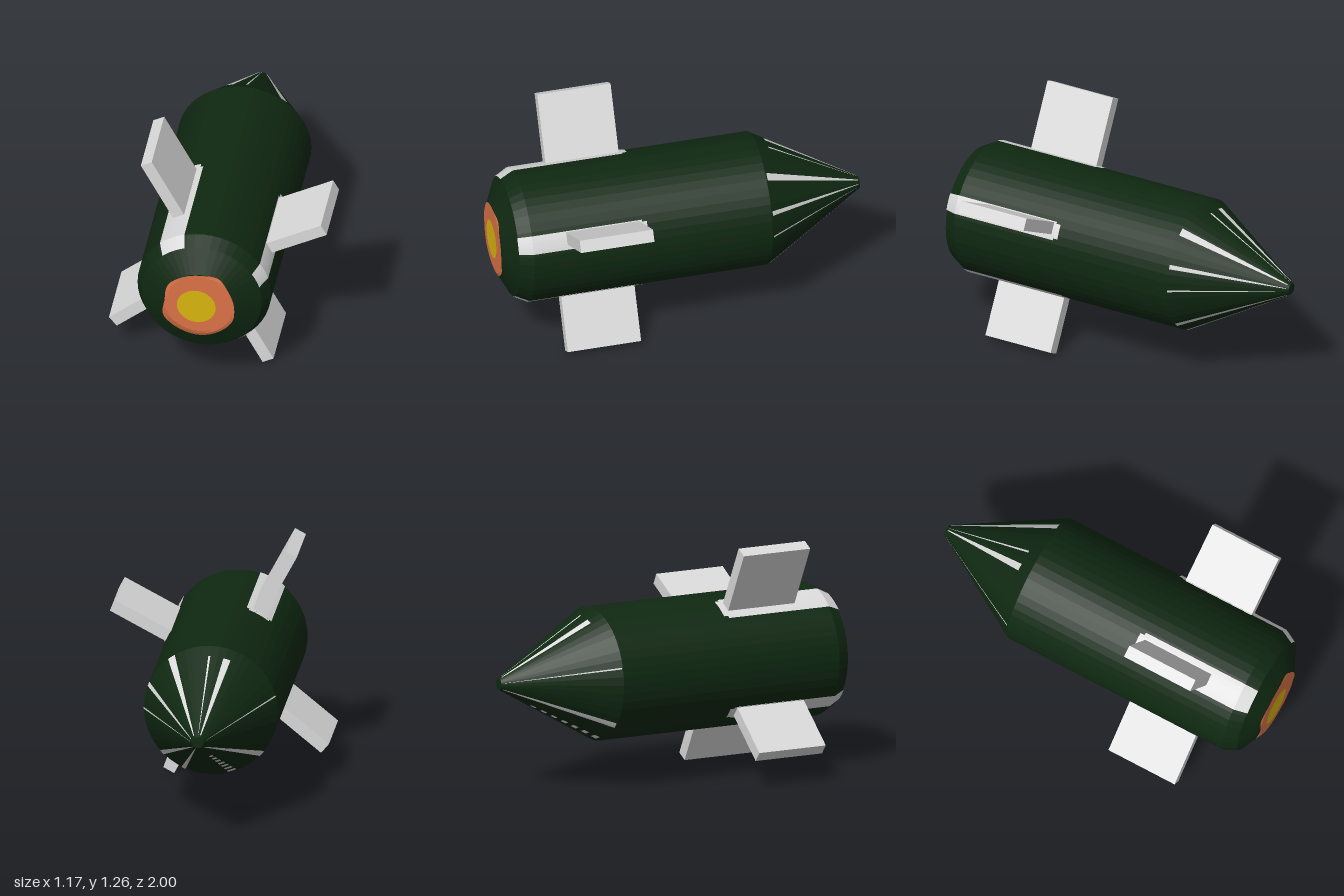
import * as THREE from 'three';

const mat = (name, color) => {
  const m = new THREE.MeshStandardMaterial({ color });
  m.name = name;
  return m;
};
const rad = THREE.MathUtils.degToRad;

// Hull outline as [radius, z], from the nose tip to the tail
const NOSE = [[0.03, -1], [0.357, -0.44]];
const TAIL = [[0.357, 0.86], [0.32, 0.93], [0.19, 0.995]];

function flat(geometry) {
  const g = geometry.toNonIndexed();
  g.computeVertexNormals();
  return g;
}

// Revolve [radius, z] points around z; start and sweep in degrees from +x
function revolve(points, segments, start = 0, sweep = 360) {
  const g = new THREE.LatheGeometry(
    points.map(([r, z]) => new THREE.Vector2(r, z)), segments, rad(start + 90), rad(sweep));
  return flat(g.rotateX(Math.PI / 2));
}

export function createModel() {
  const green = mat('dark green', 0x0f2811);
  const grey = mat('light grey', 0xdadada);
  const orange = mat('exhaust orange', 0xdc7347);
  const yellow = mat('exhaust yellow', 0xd9b610);

  const model = new THREE.Group();
  model.name = 'rocket';
  const rocket = new THREE.Group();
  rocket.name = 'rocketBody';
  rocket.position.set(-0.043, 0.603, 0);
  model.add(rocket);

  const add = (name, geometry, material) => {
    const mesh = new THREE.Mesh(geometry, material);
    mesh.name = name;
    rocket.add(mesh);
    return mesh;
  };

  // Hull with pointed nose and rounded tail
  add('hull', revolve([[0, -1], ...NOSE, ...TAIL, [0, 0.995]], 48), green);

  // Fins, each with a painted root strip: fin angle, tip distance, strip angle, strip half-width
  const fins = [
    [117.9, 0.73, 119, 12],
    [27.9, 0.69, 26, 8],
    [219.4, 0.674, 220.5, 7],
    [-61.8, 0.66, -58, 12.5],
  ];
  const root = 0.3;
  for (const [angle, tip, stripAngle, half] of fins) {
    const fin = add('fin', new THREE.BoxGeometry(tip - root, 0.066, 0.4), grey);
    const a = rad(angle), mid = (tip + root) / 2;
    fin.position.set(Math.cos(a) * mid, Math.sin(a) * mid, 0.475);
    fin.rotation.z = a;
    add('finRootStrip',
      revolve([[0.361, 0.26], [0.361, 0.862], [0.323, 0.933]], 6, stripAngle - half, 2 * half), grey);
    add('finRootStripEnd',
      revolve([[0.361, 0.235], [0.361, 0.26]], 4, stripAngle - half * 0.8, 1.6 * half), grey);
  }

  // Point on the nose cone, t = 0 at the tip and 1 at the shoulder
  const conePoint = (t) => [0.034 + 0.327 * t, -1 + 0.56 * t];

  // Tapering nose streaks: angle, half-width in degrees
  const streaks = [
    [54, 3.5], [90, 1], [107, 3.5], [22, 2], [0, 0.8],
    [-43, 2.5], [-66, 2], [-140, 3], [165, 0.7],
  ];
  for (const [angle, half] of streaks) {
    add('noseStreak', revolve([conePoint(0.02), conePoint(angle > 80 && angle < 120 ? 0.88 : 0.99)],
      2, angle - half, 2 * half), grey);
  }

  // Broken streak under the nose
  for (let i = 0; i < 7; i++) {
    const t = 0.3 + i * 0.1;
    add('noseDash', revolve([conePoint(t), conePoint(t + 0.05)], 2, -114, 8), grey);
  }

  // Irregular exhaust glow that wraps onto the tail chamfer
  const edge = [0.183, 0.18, 0.2, 0.187, 0.19, 0.2, 0.19, 0.23, 0.222, 0.218, 0.205, 0.2];
  const outline = new THREE.CatmullRomCurve3(edge.map((r, i) =>
    new THREE.Vector3(r * Math.cos(rad(i * 30)), r * Math.sin(rad(i * 30)), 0)), true);
  const glow = new THREE.RingGeometry(0.001, 1, 48, 12);
  const p = glow.attributes.position;
  for (let i = 0; i < p.count; i++) {
    const u = (i % 49) / 48, t = Math.floor(i / 49) / 12;
    const q = outline.getPoint(u % 1).multiplyScalar(Math.max(t, 0.001));
    const r = q.length();
    p.setXYZ(i, q.x, q.y, 0.998 - Math.max(0, r - 0.19) * 0.5);
  }
  add('exhaustGlow', flat(glow), orange);

  // Bright exhaust core
  const core = add('exhaustCore', new THREE.CircleGeometry(0.104, 32), yellow);
  core.position.set(-0.019, -0.018, 1);

  return model;
}
